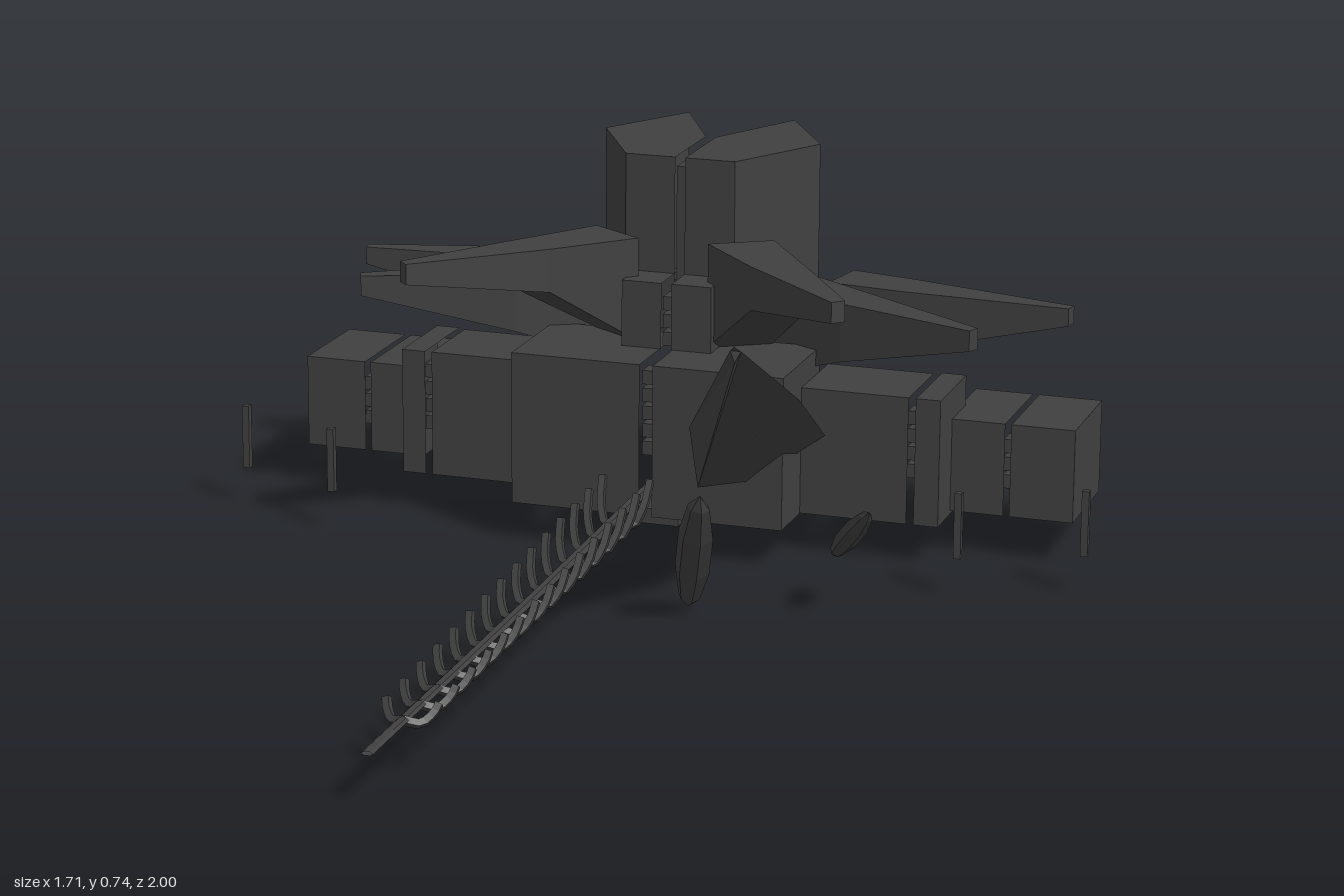
import * as THREE from 'three';

const material = new THREE.MeshStandardMaterial({ color: 0x404040, flatShading: true, side: THREE.DoubleSide });

function add(parent, name, geometry) {
  const mesh = new THREE.Mesh(geometry, material);
  mesh.name = name;
  parent.add(mesh);
  return mesh;
}

function box(parent, name, x0, x1, y0, y1, z0, z1) {
  const mesh = add(parent, name, new THREE.BoxGeometry(x1 - x0, y1 - y0, z1 - z0));
  mesh.position.set((x0 + x1) / 2, (y0 + y1) / 2, (z0 + z1) / 2);
}

// Convex flat faces, each a list of corners
function fromFaces(faces) {
  const pos = [];
  for (const f of faces) {
    for (let i = 1; i < f.length - 1; i++) pos.push(...f[0], ...f[i], ...f[i + 1]);
  }
  const g = new THREE.BufferGeometry();
  g.setAttribute('position', new THREE.Float32BufferAttribute(pos, 3));
  g.computeVertexNormals();
  return g;
}

// Hollow cover: a roof over a footprint, open below, with walls on the listed edges
function cover(parent, name, foot, y0, y1, walls) {
  const faces = [foot.map(([x, z]) => [x, y1, z])];
  for (const i of walls) {
    const [x, z] = foot[i], [u, w] = foot[(i + 1) % foot.length];
    faces.push([[x, y0, z], [u, y0, w], [u, y1, w], [x, y1, z]]);
  }
  add(parent, name, fromFaces(faces));
}

// Box cover, open at the back and below, with or without its outer wall
function boxCover(parent, name, x0, x1, y0, y1, zBack, zFront, outerWall) {
  cover(parent, name, [[x0, zFront], [x1, zFront], [x1, zBack], [x0, zBack]], y0, y1, outerWall ? [0, 1] : [0]);
}

// Skin over a row of four-cornered sections, closed at both ends
function loft(parent, name, sections) {
  const faces = [sections[0].slice().reverse(), sections[sections.length - 1]];
  for (let i = 0; i < sections.length - 1; i++) {
    const a = sections[i], b = sections[i + 1];
    for (let k = 0; k < 4; k++) {
      const n = (k + 1) % 4;
      faces.push([a[k], a[n], b[n], b[k]]);
    }
  }
  add(parent, name, fromFaces(faces));
}

// Feather: flat top, underside rising to the tip; rows are [xa, za, xb, zb, yBottom]
function feather(parent, name, top, rows) {
  loft(parent, name, rows.map(([xa, za, xb, zb, y]) =>
    [[xa, y, za], [xb, y, zb], [xb, top, zb], [xa, top, za]]));
}

// Small leaf-shaped shard between two points
function shard(parent, name, a, b, width, depth) {
  const from = new THREE.Vector3(...a), to = new THREE.Vector3(...b);
  const g = new THREE.SphereGeometry(1, 6, 5);
  g.scale(width / 2, from.distanceTo(to) / 2, depth / 2);
  const mesh = add(parent, name, g);
  mesh.position.copy(from).add(to).multiplyScalar(0.5);
  mesh.quaternion.setFromUnitVectors(new THREE.Vector3(0, 1, 0), to.sub(from).normalize());
}

// Stack of small blocks filling a gap
function joints(parent, x, y, z, count) {
  for (let i = 0; i < count; i++) {
    box(parent, 'joint', x - 0.01, x + 0.01, y + i * 0.035, y + 0.027 + i * 0.035, z - 0.04, z);
  }
}

function buildSide() {
  const side = new THREE.Group();

  // Armour, stepping down outward from the centre
  boxCover(side, 'centralArmour', 0.013, 0.272, 0.08, 0.38, -0.65, -0.41, true);
  boxCover(side, 'innerArmour', 0.272, 0.483, 0.08, 0.33, -0.71, -0.53, false);
  boxCover(side, 'innerArmourEnd', 0.497, 0.545, 0.08, 0.33, -0.72, -0.53, true);
  boxCover(side, 'outerArmour', 0.535, 0.649, 0.087, 0.27, -0.84, -0.62, false);
  boxCover(side, 'outerArmourEnd', 0.661, 0.785, 0.087, 0.27, -0.84, -0.62, true);
  joints(side, 0.49, 0.17, -0.54, 4);
  joints(side, 0.655, 0.14, -0.63, 3);

  // Riser and tall back plate
  cover(side, 'riser', [[0.01, -0.53], [0.09, -0.53], [0.09, -0.65], [0.01, -0.65]], 0.38, 0.51, [0, 1]);
  cover(side, 'backPlate', [[0.11, -1], [0.22, -0.81], [0.11, -0.61], [0.01, -0.61], [0.01, -0.8]], 0.4, 0.74, [0, 1, 2]);

  // Three feathers
  feather(side, 'upperFeather', 0.585, [
    [0.18, -0.64, 0.07, -0.57, 0.38], [0.3, -0.46, 0.2, -0.43, 0.5], [0.435, -0.25, 0.415, -0.23, 0.545]]);
  feather(side, 'middleFeather', 0.485, [
    [0.22, -0.78, 0.17, -0.68, 0.31], [0.38, -0.67, 0.33, -0.59, 0.37], [0.62, -0.505, 0.61, -0.48, 0.445]]);
  feather(side, 'lowerFeather', 0.46, [
    [0.255, -0.94, 0.235, -0.83, 0.31], [0.39, -0.91, 0.385, -0.81, 0.34], [0.73, -0.815, 0.725, -0.79, 0.425]]);

  // Free-standing rods
  for (const [x, z] of [[0.628, -0.363], [0.847, -0.455]]) {
    box(side, 'rod', x - 0.007, x + 0.007, 0.08, 0.207, z - 0.007, z + 0.007);
  }
  return side;
}

export function createModel() {
  const model = new THREE.Group();
  model.name = 'spinedArmour';

  const left = buildSide();
  left.name = 'leftSide';
  const right = buildSide();
  right.name = 'rightSide';
  right.scale.x = -1;
  model.add(left, right);

  // Joints down the middle and the socket of the spine
  joints(model, 0, 0.2, -0.42, 5);
  joints(model, 0, 0.385, -0.54, 3);
  box(model, 'plateSeam', -0.01, 0.01, 0.49, 0.72, -0.68, -0.62);
  box(model, 'spineSocket', -0.06, 0.06, 0.06, 0.09, -0.52, -0.43);

  // Long spine, thinning toward the tip
  const spinePath = new THREE.CatmullRomCurve3([
    [0, 0.13, -0.5], [0, 0.13, -0.35], [0, 0.115, 0.2], [0, 0.098, 1]].map(p => new THREE.Vector3(...p)));
  const spine = new THREE.TubeGeometry(spinePath, 30, 0.011, 6);
  const p = spine.attributes.position;
  for (let i = 0; i < p.count; i++) {
    const t = (p.getZ(i) + 0.5) / 1.5, mid = 0.13 - 0.032 * t;
    p.setY(i, mid + (p.getY(i) - mid) * (1 - 0.65 * t));
  }
  add(model, 'spine', spine);

  // Paired ribs, shrinking toward the tip
  for (let i = 0; i < 15; i++) {
    const t = i / 14, z = -0.235 + 1.08 * t, h = 0.075 - 0.055 * t, y = 0.115 - 0.015 * t;
    for (const s of [-1, 1]) {
      const path = new THREE.CatmullRomCurve3([
        new THREE.Vector3(0, y, z - 0.005),
        new THREE.Vector3(s * 0.025, y - 0.008, z - 0.02),
        new THREE.Vector3(s * 0.042, y + h * 0.35, z - 0.04),
        new THREE.Vector3(s * 0.047, y + h, z - 0.065 + 0.015 * t)]);
      add(model, 'rib', new THREE.TubeGeometry(path, 6, 0.009, 4));
    }
  }

  // Large blade rising forward on the left
  loft(model, 'blade', [
    [[0.14, 0.28, -0.41], [0.2, 0.155, -0.47], [0.32, 0.24, -0.53], [0.2, 0.33, -0.49]],
    [[0.175, 0.35, -0.14], [0.205, 0.25, -0.1], [0.41, 0.45, -0.05], [0.28, 0.48, -0.08]],
    [[0.368, 0.61, 0.23], [0.378, 0.59, 0.235], [0.388, 0.61, 0.23], [0.378, 0.62, 0.24]]]);

  // Loose shards near the blade
  shard(model, 'largeShard', [0.175, 0.005, -0.14], [0.255, 0.28, 0.04], 0.07, 0.055);
  shard(model, 'smallShard', [0.415, 0.09, -0.27], [0.525, 0.23, -0.12], 0.045, 0.035);
  return model;
}
